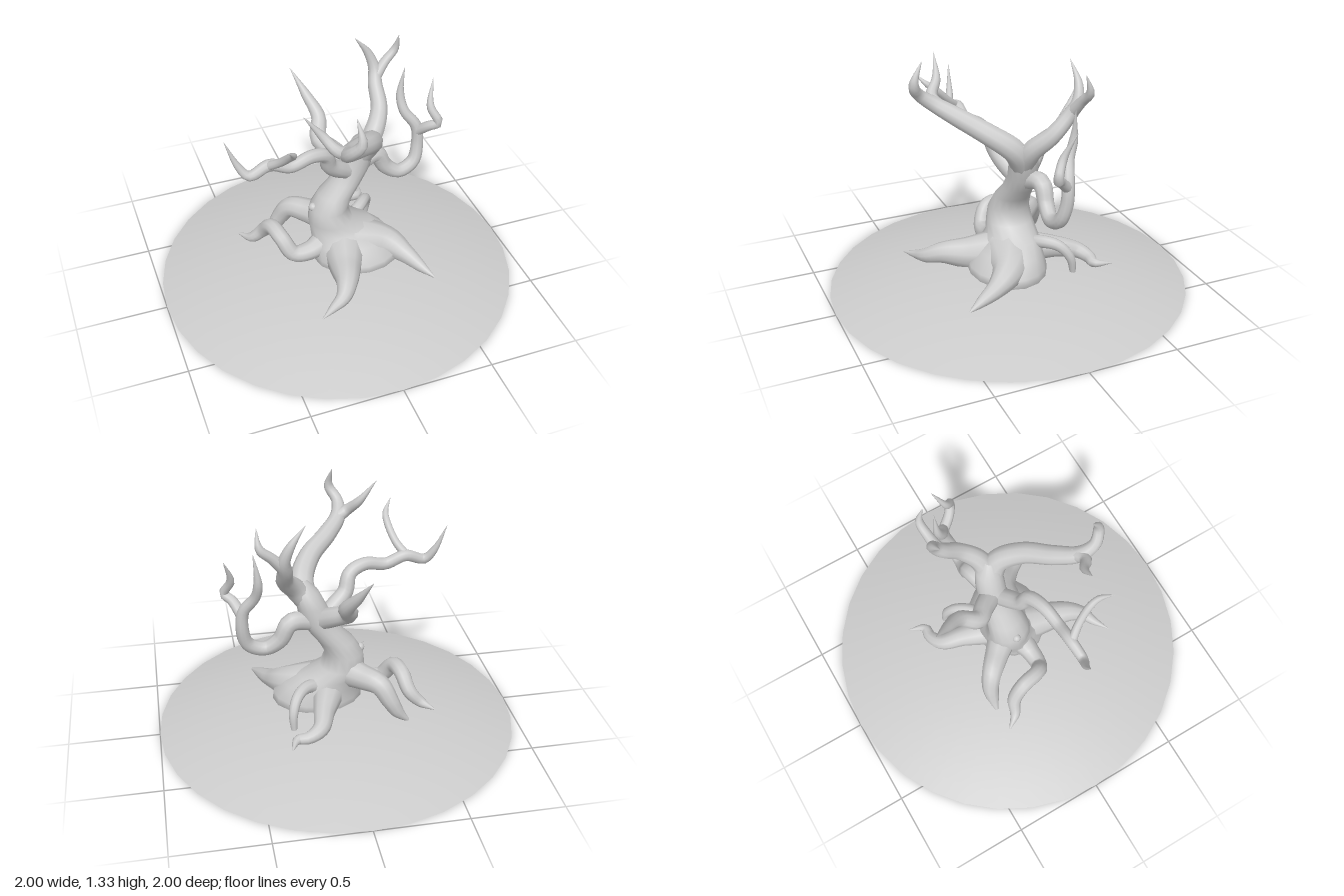
import * as THREE from 'three';

const bark = new THREE.MeshStandardMaterial({ color: 0xcccccc });
const soil = new THREE.MeshStandardMaterial({ color: 0xcccccc, side: THREE.DoubleSide });

// Skin a list of equal-sized rings into one smooth closed-round surface.
function loft(rings) {
  const sides = rings[0].length;
  const index = [];
  for (let i = 0; i < rings.length - 1; i++) {
    for (let j = 0; j < sides; j++) {
      const k = (j + 1) % sides;
      const a = i * sides + j, b = i * sides + k;
      index.push(a, b, a + sides, b, b + sides, a + sides);
    }
  }
  const geometry = new THREE.BufferGeometry().setFromPoints(rings.flat());
  geometry.setIndex(index);
  geometry.computeVertexNormals();
  return geometry;
}

// Tapering tube through points given as [x, y, z, radius].
function limb(points, sides = 10) {
  const curve = new THREE.CatmullRomCurve3(points.map(p => new THREE.Vector3(p[0], p[1], p[2])));
  const steps = (points.length - 1) * 5;
  const { normals, binormals } = curve.computeFrenetFrames(steps);
  const rings = [];
  for (let i = 0; i <= steps; i++) {
    const u = i / steps;
    const center = curve.getPointAt(u);
    const at = curve.getUtoTmapping(u) * (points.length - 1);
    const k = Math.min(Math.floor(at), points.length - 2);
    const r = THREE.MathUtils.lerp(points[k][3], points[k + 1][3], at - k);
    rings.push(Array.from({ length: sides }, (_, j) => {
      const a = (j / sides) * Math.PI * 2;
      return center.clone()
        .addScaledVector(normals[i], r * Math.cos(a))
        .addScaledVector(binormals[i], r * Math.sin(a));
    }));
  }
  return loft(rings);
}

// Upright trunk from horizontal ovals given as [y, centreX, centreZ, radiusX, radiusZ].
function trunkGeometry(ovals, sides = 16) {
  return loft(ovals.map(([y, cx, cz, rx, rz]) =>
    Array.from({ length: sides }, (_, j) => {
      const a = (j / sides) * Math.PI * 2;
      return new THREE.Vector3(cx + rx * Math.sin(a), y, cz + rz * Math.cos(a));
    })));
}

const trunk = [
  [0.10, 0.10, 0.05, 0, 0],
  [0.10, 0.10, 0.05, 0.26, 0.22],
  [0.18, 0.10, 0.05, 0.25, 0.21],
  [0.25, 0.07, 0.02, 0.22, 0.17],
  [0.31, 0.03, -0.01, 0.18, 0.14],
  [0.37, -0.03, -0.02, 0.125, 0.13],
  [0.45, -0.04, -0.02, 0.105, 0.115],
  [0.53, 0.005, -0.025, 0.10, 0.10],
  [0.60, 0.065, -0.03, 0.092, 0.085],
  [0.68, 0.115, -0.035, 0.09, 0.08],
  [0.76, 0.14, -0.03, 0.08, 0.08],
  [0.84, 0.17, -0.02, 0.07, 0.07],
  [0.90, 0.19, 0.0, 0.03, 0.03],
];

const branches = {
  rightBranch: [[0.08, 0.66, -0.02, 0.05], [0, 0.72, 0.02, 0.05], [-0.06, 0.78, 0.05, 0.045],
    [-0.09, 0.87, 0.08, 0.04], [-0.18, 0.905, 0.11, 0.036], [-0.3, 0.885, 0.13, 0.033],
    [-0.41, 0.925, 0.13, 0.032], [-0.52, 0.89, 0.14, 0.028], [-0.57, 0.95, 0.12, 0.02], [-0.63, 1.1, 0.1, 0.001]],
  rightTwig: [[-0.42, 0.92, 0.13, 0.025], [-0.37, 0.98, 0.2, 0.022], [-0.34, 1.06, 0.28, 0.021],
    [-0.34, 1.1, 0.33, 0.017], [-0.38, 1.16, 0.39, 0.001]],
  frontBranch: [[0.15, 0.76, -0.02, 0.065], [0.18, 0.86, 0.04, 0.065], [0.12, 0.95, 0.16, 0.058],
    [0, 1.02, 0.28, 0.052], [-0.08, 1.08, 0.38, 0.043], [-0.09, 1.14, 0.46, 0.033],
    [-0.05, 1.21, 0.5, 0.028], [-0.06, 1.33, 0.45, 0.001]],
  frontTwig: [[-0.06, 1.07, 0.36, 0.038], [-0.13, 1.11, 0.38, 0.032], [-0.19, 1.18, 0.33, 0.024], [-0.28, 1.3, 0.31, 0.001]],
  upperBranch: [[0.15, 0.76, -0.02, 0.06], [0.23, 0.87, -0.04, 0.056], [0.29, 0.96, -0.12, 0.047],
    [0.3, 1.06, -0.21, 0.04], [0.31, 1.13, -0.25, 0.034], [0.28, 1.22, -0.27, 0.024], [0.2, 1.33, -0.26, 0.001]],
  upperTwig: [[0.31, 1.09, -0.23, 0.034], [0.37, 1.16, -0.25, 0.027], [0.43, 1.22, -0.26, 0.023], [0.44, 1.32, -0.23, 0.001]],
  droopingBranch: [[0.12, 0.66, -0.04, 0.05], [0.26, 0.69, -0.08, 0.05], [0.32, 0.59, -0.08, 0.045],
    [0.4, 0.54, -0.07, 0.04], [0.49, 0.58, -0.08, 0.038], [0.52, 0.68, -0.1, 0.035], [0.51, 0.8, -0.11, 0.032],
    [0.45, 0.89, -0.14, 0.028], [0.435, 0.98, -0.17, 0.024], [0.455, 1.15, -0.17, 0.001]],
  droopingTwig: [[0.52, 0.77, -0.1, 0.03], [0.56, 0.83, -0.04, 0.028], [0.6, 0.86, -0.01, 0.026],
    [0.565, 0.95, -0.05, 0.022], [0.6, 1.09, -0.11, 0.001]],
  backBranch: [[0.11, 0.66, -0.03, 0.06], [0.03, 0.73, -0.13, 0.055], [-0.03, 0.78, -0.2, 0.05],
    [0, 0.86, -0.29, 0.042], [-0.04, 0.96, -0.38, 0.028], [-0.1, 1.09, -0.47, 0.001]],
};

const roots = {
  frontRoot: [[0.02, 0.2, 0.06, 0.13], [-0.03, 0.2, 0.23, 0.09], [-0.07, 0.21, 0.36, 0.06],
    [-0.12, 0.185, 0.44, 0.042], [-0.19, 0.165, 0.48, 0.025], [-0.27, 0.155, 0.53, 0.002]],
  leftFrontRoot: [[0.1, 0.2, 0.04, 0.15], [0.26, 0.2, 0.11, 0.09], [0.34, 0.165, 0.21, 0.055],
    [0.39, 0.14, 0.31, 0.033], [0.435, 0.12, 0.4, 0.005]],
  leftBackRoot: [[0.06, 0.22, -0.08, 0.09], [0.11, 0.21, -0.24, 0.06], [0.15, 0.18, -0.36, 0.045],
    [0.22, 0.16, -0.4, 0.035], [0.28, 0.155, -0.4, 0.028], [0.32, 0.155, -0.49, 0.002]],
  archedRoot: [[0.08, 0.26, -0.06, 0.04], [0.19, 0.3, -0.13, 0.035], [0.25, 0.285, -0.2, 0.03],
    [0.28, 0.22, -0.25, 0.026], [0.28, 0.11, -0.27, 0.015]],
  rightLoopRoot: [[-0.05, 0.26, 0.02, 0.08], [-0.17, 0.215, 0.05, 0.055], [-0.27, 0.22, 0.05, 0.046],
    [-0.325, 0.31, 0, 0.044], [-0.35, 0.32, -0.1, 0.044], [-0.38, 0.24, -0.18, 0.04],
    [-0.44, 0.18, -0.21, 0.03], [-0.5, 0.17, -0.28, 0.004]],
  rightBackRoot: [[-0.03, 0.34, -0.04, 0.09], [-0.12, 0.34, -0.14, 0.07], [-0.2, 0.33, -0.22, 0.058],
    [-0.25, 0.25, -0.26, 0.048], [-0.29, 0.18, -0.27, 0.038], [-0.35, 0.12, -0.28, 0.01]],
};

export function createModel() {
  const model = new THREE.Group();
  const add = (parent, name, geometry, material = bark) => {
    const mesh = new THREE.Mesh(geometry, material);
    mesh.name = name;
    parent.add(mesh);
    return mesh;
  };

  // Shallow open mound
  const profile = [];
  for (let i = 0; i <= 10; i++) {
    const r = 1 - i / 10;
    profile.push(new THREE.Vector2(r, 0.155 * (1 - r * r)));
  }
  add(model, 'mound', new THREE.LatheGeometry(profile, 32), soil);

  // Leaning trunk with a small knot
  const tree = new THREE.Group();
  tree.name = 'tree';
  model.add(tree);
  add(tree, 'trunk', trunkGeometry(trunk));
  const knot = add(tree, 'knot', new THREE.SphereGeometry(0.025, 10, 8));
  knot.position.set(-0.13, 0.46, -0.02);

  // Branches and roots
  for (const [name, points] of Object.entries({ ...branches, ...roots })) add(tree, name, limb(points));
  return model;
}
